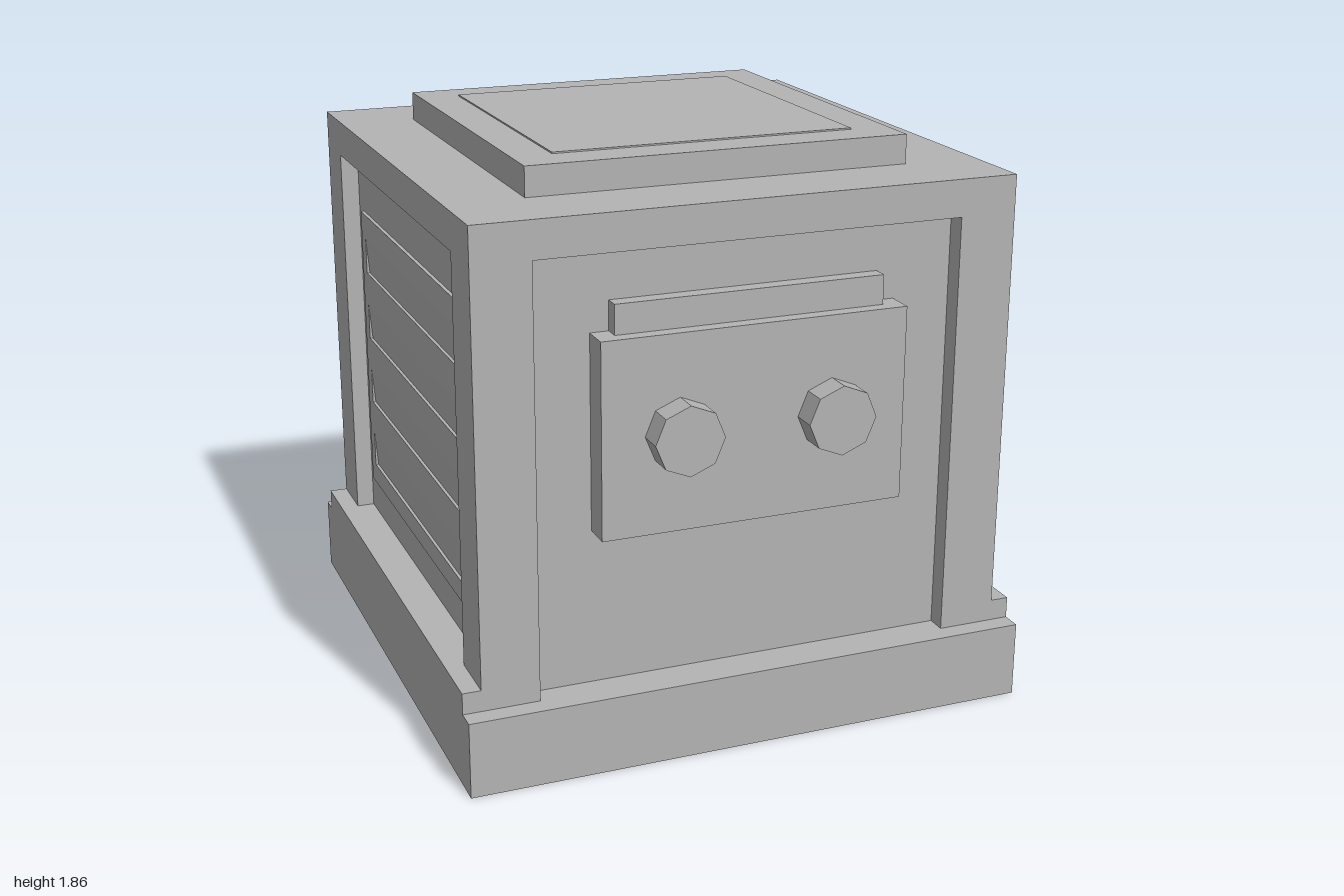
import * as THREE from 'three';

export function createModel() {
  const model = new THREE.Group();
  const grey = new THREE.MeshStandardMaterial({ color: 0xb3b3b3, flatShading: true });
  grey.name = 'plain grey';

  function add(name, geometry, parent = model) {
    const mesh = new THREE.Mesh(geometry, grey);
    mesh.name = name;
    parent.add(mesh);
    return mesh;
  }

  // Box given by its limits on each axis
  function box(name, [x0, x1], [y0, y1], [z0, z1], parent) {
    const geometry = new THREE.BoxGeometry(x1 - x0, y1 - y0, z1 - z0);
    geometry.translate((x0 + x1) / 2, (y0 + y1) / 2, (z0 + z1) / 2);
    return add(name, geometry, parent);
  }

  // Faceted disc with its axis along z
  function disc(name, radius, sides, x, y, z0, z1) {
    const geometry = new THREE.CylinderGeometry(radius, radius, z1 - z0, sides);
    geometry.rotateX(Math.PI / 2);
    geometry.translate(x, y, (z0 + z1) / 2);
    return add(name, geometry);
  }

  // Base, core and lid slab
  box('base', [-0.94, 0.94], [0, 0.25], [-0.935, 0.95]);
  box('core', [-0.82, 0.82], [0.25, 1.64], [-0.81, 0.82]);
  box('topSlab', [-0.88, 0.88], [1.64, 1.76], [-0.87, 0.885]);
  box('roofPlate', [-0.63, 0.63], [1.76, 1.855], [-0.625, 0.63]);
  box('roofPanel', [-0.5, 0.5], [1.855, 1.86], [-0.5, 0.5]);

  // Corner posts and side sills frame the recessed walls
  for (const s of [-1, 1]) {
    const span = (a, b) => (s > 0 ? [a, b] : [-b, -a]);
    box('frontPost', span(0.693, 0.88), [0.25, 1.64], [0.7, 0.885]);
    box('backPost', span(0.693, 0.88), [0.25, 1.64], [-0.87, -0.685]);
    box('sideSill', span(0.693, 0.94), [0.25, 0.32], [-0.87, 0.885]);
  }

  // Louvred vent: a sawtooth section drawn along z, closed by end strips
  const section = new THREE.Shape();
  section.moveTo(0.8, 0.45);
  section.lineTo(0.832, 0.45);
  for (let i = 0; i < 4; i++) {
    const y = 0.52 + i * 0.24;
    section.lineTo(0.832, y);
    section.lineTo(0.822, y);
    section.lineTo(0.832, y + 0.125);
  }
  section.lineTo(0.832, 1.45);
  section.lineTo(0.8, 1.45);
  const louvres = new THREE.ExtrudeGeometry(section, { depth: 1.15, bevelEnabled: false });
  louvres.translate(0, 0, -0.575);
  for (const [name, turn] of [['leftVent', 0], ['rightVent', Math.PI]]) {
    const vent = new THREE.Group();
    vent.name = name;
    vent.rotation.y = turn;
    vent.position.z = 0.008;
    add('louvres', louvres, vent);
    box('ventEnd', [0.8, 0.832], [0.45, 1.45], [0.575, 0.628], vent);
    box('ventEnd', [0.8, 0.832], [0.45, 1.45], [-0.628, -0.575], vent);
    model.add(vent);
  }

  // Front control panel with two knobs
  box('controlPanel', [-0.5, 0.5], [0.757, 1.385], [0.82, 0.915]);
  box('panelTopStrip', [-0.44, 0.44], [1.385, 1.48], [0.82, 0.87]);
  for (const x of [-0.25, 0.25]) disc('knob', 0.112, 8, x, 1.073, 0.915, 1);

  // Back wheel, hub, strip and buttons
  disc('wheel', 0.3, 12, 0, 1.01, -0.94, -0.81);
  disc('wheelHub', 0.15, 8, 0, 1.01, -1, -0.94);
  box('backStrip', [0.02, 0.52], [1.44, 1.535], [-0.835, -0.81]);
  for (const x of [-0.185, -0.375]) {
    box('button', [x - 0.067, x + 0.067], [1.415, 1.54], [-0.865, -0.81]);
  }

  return model;
}
